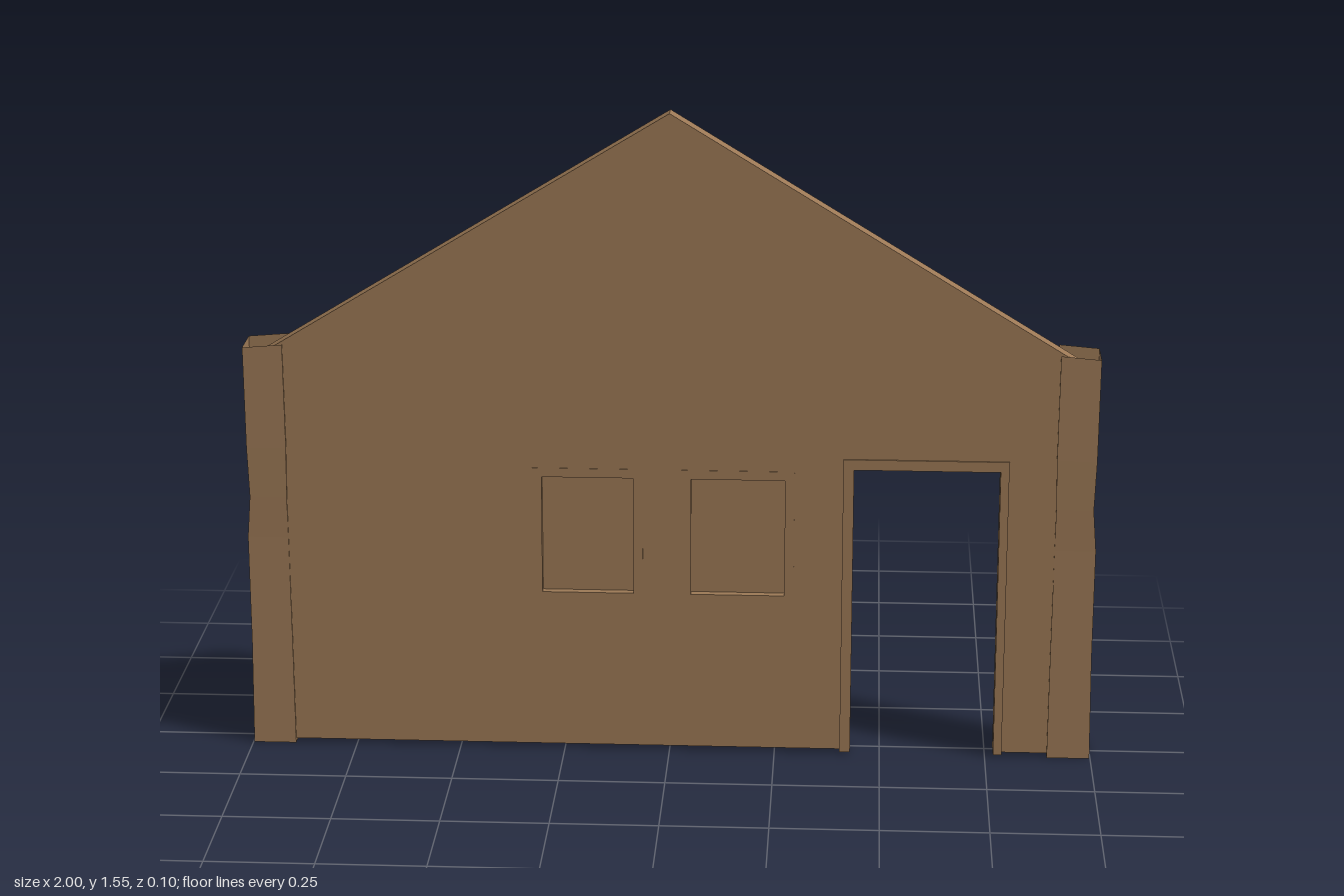
import * as THREE from 'three';

const WALL_Z = 0, WALL_T = 0.045;

function shapeFrom(points) {
  return new THREE.Shape(points.map(([x, y]) => new THREE.Vector2(x, y)));
}

function rect(x0, y0, x1, y1) {
  return [[x0, y0], [x1, y0], [x1, y1], [x0, y1]];
}

function slab(name, points, holes, z, depth, material) {
  const shape = shapeFrom(points);
  for (const h of holes) shape.holes.push(shapeFrom(h));
  const geo = new THREE.ExtrudeGeometry(shape, { depth, bevelEnabled: false });
  const mesh = new THREE.Mesh(geo.translate(0, 0, z), material);
  mesh.name = name;
  return mesh;
}

// Hollow four-sided post, open at both ends, with slightly uneven sides
function cornerPost(name, side, material) {
  const rings = [ // y, inner x, outer x, half depth
    [0, 0.897, 0.998, 0.05],
    [0.26, 0.898, 0.995, 0.049],
    [0.52, 0.9, 0.996, 0.048],
    [0.62, 0.901, 0.988, 0.049],
    [0.74, 0.899, 0.992, 0.05],
    [0.985, 0.901, 0.994, 0.049],
  ];
  const corners = rings.map(([y, a, b, d], i) => {
    const rise = i === rings.length - 1 ? 0.008 : 0;
    return [[a, y + rise, d], [b, y, d], [b, y, -d], [a, y + rise, -d]]
      .map(([x, py, z]) => [x * side, py, z]);
  });
  const pos = [];
  for (let i = 0; i < rings.length - 1; i++) {
    for (let k = 0; k < 4; k++) {
      const n = (k + 1) % 4;
      const a = corners[i][k], b = corners[i][n], c = corners[i + 1][n], d = corners[i + 1][k];
      const tris = side > 0 ? [a, b, c, a, c, d] : [a, c, b, a, d, c];
      pos.push(...tris.flat());
    }
  }
  const geo = new THREE.BufferGeometry();
  geo.setAttribute('position', new THREE.Float32BufferAttribute(pos, 3));
  geo.computeVertexNormals();
  const mesh = new THREE.Mesh(geo, material);
  mesh.name = name;
  return mesh;
}

export function createModel() {
  const group = new THREE.Group();
  group.name = 'gableWall';
  const wood = new THREE.MeshStandardMaterial({ color: 0x9c7956, side: THREE.DoubleSide });
  wood.name = 'brown wood';

  const windows = [[-0.3, -0.085], [0.05, 0.27]];
  const sill = 0.395, head = 0.68, trim = 0.022;

  // Gable wall with a doorway notch and window holes
  group.add(slab('wall', [
    [-0.94, 0.01], [0.42, 0.01], [0.42, 0.72], [0.78, 0.72], [0.78, 0.01],
    [0.94, 0.01], [0.94, 0.977], [0, 1.55], [-0.94, 0.977],
  ], windows.map(([a, b]) => rect(a, sill, b, head)), WALL_Z, WALL_T, wood));

  // Window trims and recessed panes
  for (const [a, b] of windows) {
    group.add(slab('windowFrame', rect(a - trim, sill - trim, b + trim, head + trim),
      [rect(a, sill, b, head)], WALL_Z - 0.001, WALL_T + 0.002, wood));
    group.add(slab('windowPane', rect(a, sill, b, head), [], 0.019, 0.007, wood));
  }

  // Door frame, proud of the wall on both faces
  group.add(slab('doorFrame', [
    [0.405, 0.004], [0.43, 0.004], [0.43, 0.71], [0.77, 0.71], [0.77, 0.004],
    [0.79, 0.004], [0.79, 0.735], [0.405, 0.735],
  ], [], -0.008, 0.057, wood));

  // Corner posts
  group.add(cornerPost('leftPost', 1, wood), cornerPost('rightPost', -1, wood));
  return group;
}
